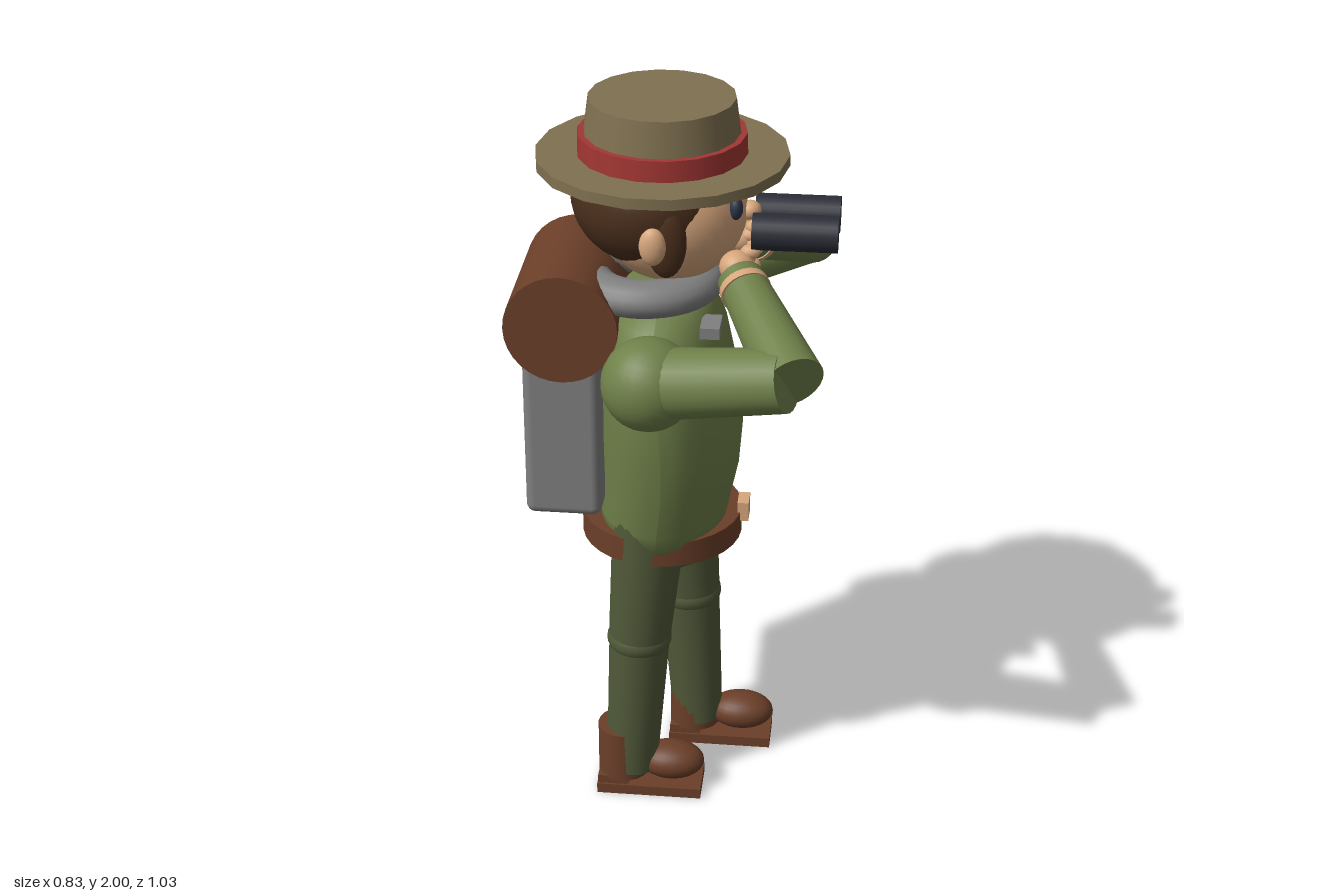
import * as THREE from 'three';
import { RoundedBoxGeometry } from 'three/addons/geometries/RoundedBoxGeometry.js';

const mat = (name, color, side = THREE.FrontSide) => {
  const m = new THREE.MeshStandardMaterial({ color, side });
  m.name = name;
  return m;
};

export function createModel() {
  const M = {
    jacket: mat('jacket green', 0x6f8049),
    trousers: mat('trouser green', 0x505939),
    skin: mat('skin', 0xd6a67c),
    hair: mat('dark brown hair', 0x4a2f1c),
    leather: mat('brown leather', 0x6b3f29),
    hat: mat('hat tan', 0x7f7050),
    band: mat('hat band red', 0xa23633),
    grey: mat('canvas grey', 0x808080),
    black: mat('binocular black', 0x2b2d37),
    eye: mat('eye blue', 0x2b3447),
  };
  const model = new THREE.Group();
  model.name = 'hikerWithBinoculars';
  const V = (x, y, z) => new THREE.Vector3(x, y, z);

  const add = (name, geo, m, x = 0, y = 0, z = 0) => {
    const mesh = new THREE.Mesh(geo, m);
    mesh.name = name;
    mesh.position.set(x, y, z);
    model.add(mesh);
    return mesh;
  };
  const ball = (name, m, p, r, seg = 24) => {
    const mesh = add(name, new THREE.SphereGeometry(1, seg, Math.round(seg * 0.67)), m, ...p);
    mesh.scale.set(...r);
    return mesh;
  };
  const box = (name, m, p, s) => add(name, new THREE.BoxGeometry(...s), m, ...p);
  // tapered rod from point a to point b
  const rod = (name, m, a, b, ra, rb, seg = 24) => {
    const dir = b.clone().sub(a);
    const mesh = add(name, new THREE.CylinderGeometry(rb, ra, dir.length(), seg), m);
    mesh.position.copy(a).add(b).multiplyScalar(0.5);
    mesh.quaternion.setFromUnitVectors(V(0, 1, 0), dir.normalize());
    return mesh;
  };
  // oval cross-sections [y, centreX, radiusX, radiusZ], top to bottom
  const loft = (name, m, rows) => {
    const seg = 36;
    const geo = new THREE.CylinderGeometry(1, 1, 1, seg, rows.length - 1, true);
    const pos = geo.attributes.position;
    for (let i = 0; i < pos.count; i++) {
      const [y, cx, rx, rz] = rows[Math.floor(i / (seg + 1))];
      pos.setXYZ(i, cx + pos.getX(i) * rx, y, pos.getZ(i) * rz);
    }
    geo.computeVertexNormals();
    return add(name, geo, m);
  };

  // torso and hips
  loft('jacket', M.jacket, [
    [1.50, -0.03, 0.01, 0.01], [1.49, -0.03, 0.1, 0.14], [1.45, -0.03, 0.135, 0.23],
    [1.37, -0.025, 0.16, 0.28], [1.25, -0.015, 0.175, 0.3], [1.1, -0.008, 0.187, 0.285],
    [0.98, -0.012, 0.182, 0.26], [0.86, -0.027, 0.172, 0.23], [0.79, -0.033, 0.166, 0.212],
    [0.775, -0.033, 0.01, 0.01],
  ]);
  add('hips', new THREE.CylinderGeometry(0.175, 0.155, 0.07, 28), M.trousers, -0.035, 0.775, 0).scale.z = 1.2;
  add('belt', new THREE.CylinderGeometry(0.215, 0.215, 0.07, 32), M.leather, -0.035, 0.803, 0);
  box('buckle', M.skin, [0.185, 0.84, 0], [0.03, 0.055, 0.06]);

  // legs and boots: the left-hand one trails, the other steps forward
  for (const [side, hipX, kneeX, ankleX, footX] of [[1, -0.055, -0.085, -0.108, 0], [-1, 0.0, 0.028, 0.052, 0.175]]) {
    const hip = V(hipX, 0.87, side * 0.12), knee = V(kneeX, 0.49, side * 0.126);
    rod('thigh', M.trousers, knee, hip, 0.084, 0.1);
    rod('shin', M.trousers, V(ankleX, 0.07, side * 0.13), knee, 0.071, 0.083);
    ball('knee', M.trousers, knee.toArray(), [0.088, 0.06, 0.088]);
    const z = side * 0.13;
    add('bootShaft', new THREE.CylinderGeometry(0.072, 0.072, 0.15, 20), M.leather, footX - 0.13, 0.125, z);
    ball('bootToe', M.leather, [footX + 0.003, 0.085, z], [0.092, 0.052, 0.064]);
    box('bootHeel', M.leather, [footX - 0.155, 0.043, z], [0.085, 0.025, 0.12]);
    box('bootSole', M.leather, [footX - 0.055, 0.015, z], [0.29, 0.03, 0.13]);
  }

  // arms raised to the face
  for (const s of [1, -1]) {
    const shoulder = V(-0.032, 1.37, s * 0.33), elbow = V(0.315, 1.452, s * 0.437);
    const wrist = V(0.175, 1.575, s * 0.13);
    ball('shoulder', M.jacket, shoulder.toArray(), [0.12, 0.12, 0.116]);
    rod('upperArm', M.jacket, shoulder, elbow, 0.092, 0.079);
    rod('forearm', M.jacket, V(0.33, 1.452, s * 0.443), wrist, 0.079, 0.058);
    const at = t => elbow.clone().lerp(wrist, t);
    rod('cuff', M.skin, at(0.86), at(0.92), 0.065, 0.063);
    ball('hand', M.skin, [0.165, 1.59, s * 0.095], [0.045, 0.042, 0.045]);
    for (let i = 0; i < 4; i++) {
      ball('finger', M.skin, [0.185 + 0.012 * (i % 2), 1.565 + i * 0.02, s * (0.06 + 0.006 * i)], [0.026, 0.019, 0.022], 12);
    }
  }

  // binoculars
  for (const s of [1, -1]) rod('binocularTube', M.black, V(0.2, 1.675, s * 0.064), V(0.415, 1.675, s * 0.064), 0.047, 0.047);

  // neck scarf
  const scarf = add('scarf', new THREE.TorusGeometry(0.145, 0.06, 16, 36), M.grey, -0.075, 1.512, 0);
  scarf.rotation.x = Math.PI / 2;
  scarf.scale.z = 0.8;
  box('scarfTail', M.grey, [0.105, 1.44, 0.138], [0.05, 0.03, 0.085]);

  // head and face
  ball('head', M.skin, [-0.012, 1.705, 0], [0.195, 0.185, 0.19], 36);
  ball('hair', M.hair, [-0.06, 1.745, 0], [0.205, 0.182, 0.212], 36);
  ball('nose', M.skin, [0.19, 1.705, 0], [0.028, 0.025, 0.027], 16);
  for (const s of [1, -1]) {
    ball('sideburn', M.hair, [-0.005, 1.69, s * 0.178], [0.052, 0.1, 0.032]);
    ball('ear', M.skin, [-0.035, 1.685, s * 0.208], [0.034, 0.05, 0.024], 16);
    ball('eye', M.eye, [0.16, 1.745, s * 0.088], [0.018, 0.03, 0.022], 16);
    const brow = box('eyebrow', M.hair, [0.155, 1.797, s * 0.085], [0.03, 0.014, 0.06]);
    brow.rotation.set(s * 0.15, s * 0.5, 0);
  }
  for (let i = -3; i <= 3; i++) {
    const a = i * 0.36;
    ball('fringe', M.hair, [-0.02 + 0.165 * Math.cos(a), 1.83, 0.165 * Math.sin(a)], [0.03, 0.02, 0.035], 12);
  }

  // hat
  const disc = (name, m, rt, rb, y0, y1) =>
    add(name, new THREE.CylinderGeometry(rt, rb, y1 - y0, 18, 1, false, Math.PI / 2), m, -0.033, (y0 + y1) / 2, 0);
  disc('hatBrim', M.hat, 0.32, 0.32, 1.828, 1.856);
  disc('hatCrown', M.hat, 0.185, 0.205, 1.85, 2);
  disc('hatBand', M.band, 0.213, 0.215, 1.855, 1.91);

  // backpack with bedroll
  add('backpack', new RoundedBoxGeometry(0.2, 0.5, 0.396, 3, 0.025), M.grey, -0.275, 1.148, 0);
  rod('bedroll', M.leather, V(-0.272, 1.44, -0.2), V(-0.272, 1.44, 0.2), 0.146, 0.146, 32);

  return model;
}
